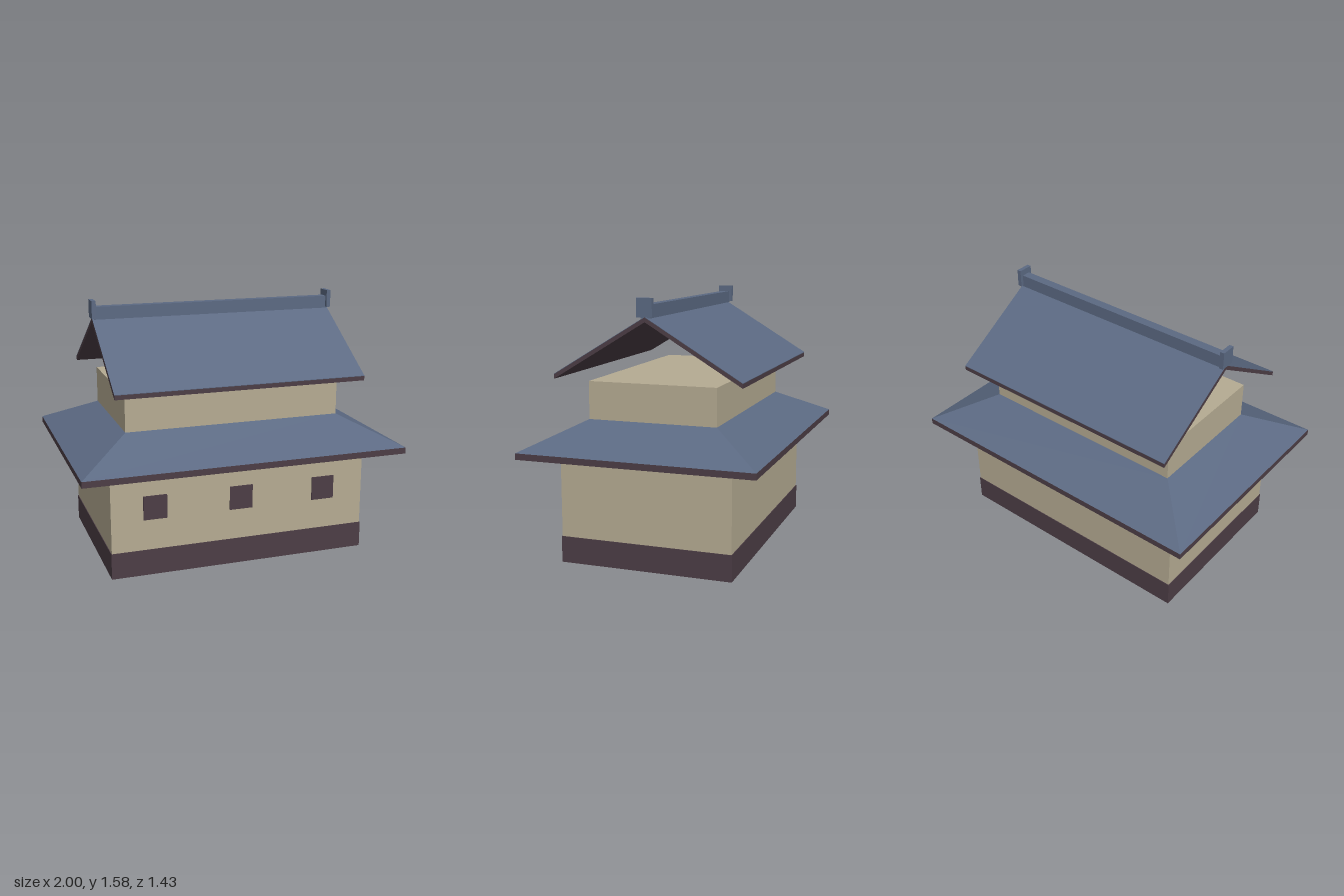
import * as THREE from 'three';

const material = (color, side = THREE.FrontSide) =>
  new THREE.MeshStandardMaterial({ color, side, flatShading: true });

export function createModel() {
  const model = new THREE.Group();
  const plaster = material(0xb5ab92);
  const plasterShell = material(0xb5ab92, THREE.DoubleSide);
  const timber = material(0x4c3d45);
  const timberShell = material(0x4c3d45, THREE.DoubleSide);
  const tile = material(0x5b6982);

  function add(name, geometry, mat) {
    const mesh = new THREE.Mesh(geometry, mat);
    mesh.name = name;
    model.add(mesh);
    return mesh;
  }

  // Box given by its full width, depth and its bottom and top heights
  function block(name, w, d, y0, y1, mat, x = 0, z = 0) {
    const mesh = add(name, new THREE.BoxGeometry(w, y1 - y0, d), mat);
    mesh.position.set(x, (y0 + y1) / 2, z);
    return mesh;
  }

  // Four walls without floor or ceiling
  function openWalls(name, w, d, y0, y1, mat) {
    const geometry = new THREE.CylinderGeometry(Math.SQRT1_2, Math.SQRT1_2, 1, 4, 1, true);
    geometry.rotateY(Math.PI / 4).scale(w, y1 - y0, d).translate(0, (y0 + y1) / 2, 0);
    return add(name, geometry, mat);
  }

  // Lower storey: hollow below the floor
  openWalls('lowerWalls', 1.608, 1.05, 0, 0.66, plasterShell);
  openWalls('plinth', 1.616, 1.058, 0, 0.16, timberShell);
  const floor = add('floor', new THREE.PlaneGeometry(1.616, 1.058).rotateX(-Math.PI / 2), timberShell);
  floor.position.y = 0.16;

  // Front windows
  for (const x of [-0.537, 0, 0.537]) {
    block('window', 0.145, 0.012, 0.35, 0.497, timber, x, 0.526);
  }

  // Lower roof: flat fascia under a hipped skirt
  block('eaveFascia', 2, 1.43, 0.655, 0.693, timber);
  const skirt = new THREE.BoxGeometry(2, 0.162, 1.43);
  const p = skirt.attributes.position;
  for (let i = 0; i < p.count; i++) {
    if (p.getY(i) > 0) {
      p.setX(i, Math.sign(p.getX(i)) * 0.675);
      p.setZ(i, Math.sign(p.getZ(i)) * 0.395);
    }
  }
  skirt.computeVertexNormals();
  add('lowerRoof', skirt, tile).position.y = 0.774;

  // Upper storey
  block('upperWalls', 1.35, 0.79, 0.855, 1.082, plaster);

  // Upper roof: chevron slabs running along x
  function gable(name, offset, thickness, mat) {
    const eave = 1.13 + offset, ridge = 1.475 + offset;
    const profile = new THREE.Shape([
      [-0.572, eave], [-0.572, eave - thickness], [0, ridge - thickness],
      [0.572, eave - thickness], [0.572, eave], [0, ridge],
    ].map(([z, y]) => new THREE.Vector2(z, y)));
    const geometry = new THREE.ExtrudeGeometry(profile, { depth: 1.544, bevelEnabled: false });
    geometry.translate(0, 0, -0.772).rotateY(Math.PI / 2);
    add(name, geometry, mat);
  }
  gable('upperRoofBoards', -0.003, 0.027, timber);
  gable('upperRoofTiles', 0, 0.003, tile);

  // Ridge beam and its raised ends
  block('ridgeBeam', 1.52, 0.056, 1.465, 1.542, tile);
  for (const side of [-1, 1]) {
    block('ridgeEnd', 0.026, 0.094, 1.472, 1.58, tile, side * 0.767);
  }

  return model;
}
